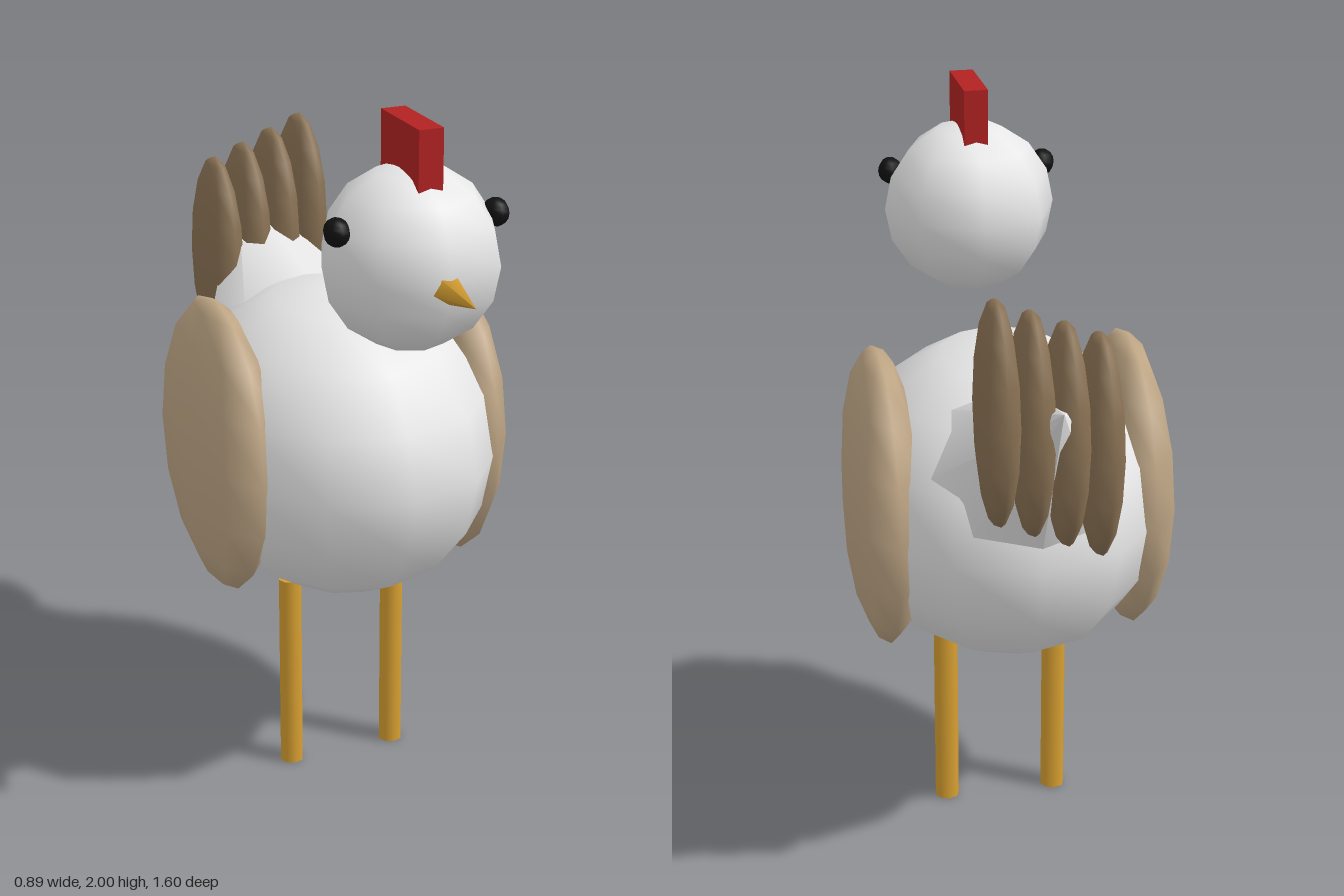
import * as THREE from 'three';

const material = (name, color) => {
  const m = new THREE.MeshStandardMaterial({ color });
  m.name = name;
  return m;
};

export function createModel() {
  const white = material('white plumage', 0xf5f5f5);
  const tan = material('tan wing', 0xc0a786);
  const brown = material('brown tail', 0x8b7355);
  const gold = material('golden beak and legs', 0xd8a032);
  const red = material('red comb', 0xb22222);
  const black = material('black eye', 0x111111);

  const bird = new THREE.Group();
  bird.name = 'hen';

  const add = (name, geometry, mat, x, y, z) => {
    const mesh = new THREE.Mesh(geometry, mat);
    mesh.name = name;
    mesh.position.set(x, y, z);
    bird.add(mesh);
    return mesh;
  };
  // Low-poly ellipsoid with smooth normals
  const ellipsoid = (rx, ry, rz, around = 8, rows = 8) =>
    new THREE.SphereGeometry(1, around, rows).scale(rx, ry, rz);

  // Body and floating head
  add('body', ellipsoid(0.435, 0.435, 0.535, 12, 8), white, 0, 0.98, -0.06);
  add('head', ellipsoid(0.24, 0.24, 0.24), white, 0, 1.645, 0.425);

  // Comb and beak
  add('comb', new THREE.BoxGeometry(0.066, 0.2, 0.225), red, 0, 1.9, 0.428);
  add('beak', new THREE.ConeGeometry(0.05, 0.2, 5).rotateX(Math.PI / 2), gold, 0, 1.625, 0.7);

  // Mirrored eyes, wings and legs
  for (const [side, s] of [['left', 1], ['right', -1]]) {
    add(side + 'Eye', ellipsoid(0.034, 0.037, 0.04), black, s * 0.217, 1.745, 0.465);
    add(side + 'Wing', ellipsoid(0.105, 0.415, 0.355), tan, s * 0.34, 1.0, -0.075);
    add(side + 'Leg', new THREE.CylinderGeometry(0.034, 0.034, 0.58, 8), gold, s * 0.156, 0.29, -0.015);
  }

  // Rump: a cone whose tip points up and back
  const tilt = 51.5 * Math.PI / 180;
  const rumpHeight = 0.6;
  const rump = add('rump', new THREE.ConeGeometry(0.29, rumpHeight, 8), white,
    0,
    1.505 - Math.cos(tilt) * rumpHeight / 2,
    -0.8 + Math.sin(tilt) * rumpHeight / 2);
  rump.rotation.x = -tilt;

  // Tail fan: four feathers stepping down from left to right
  for (let i = 0; i < 4; i++) {
    add('tailFeather' + (i + 1), ellipsoid(0.055, 0.3, 0.16), brown,
      0.13 - i * 0.0867, 1.445 - i * 0.034, -0.625);
  }

  return bird;
}
